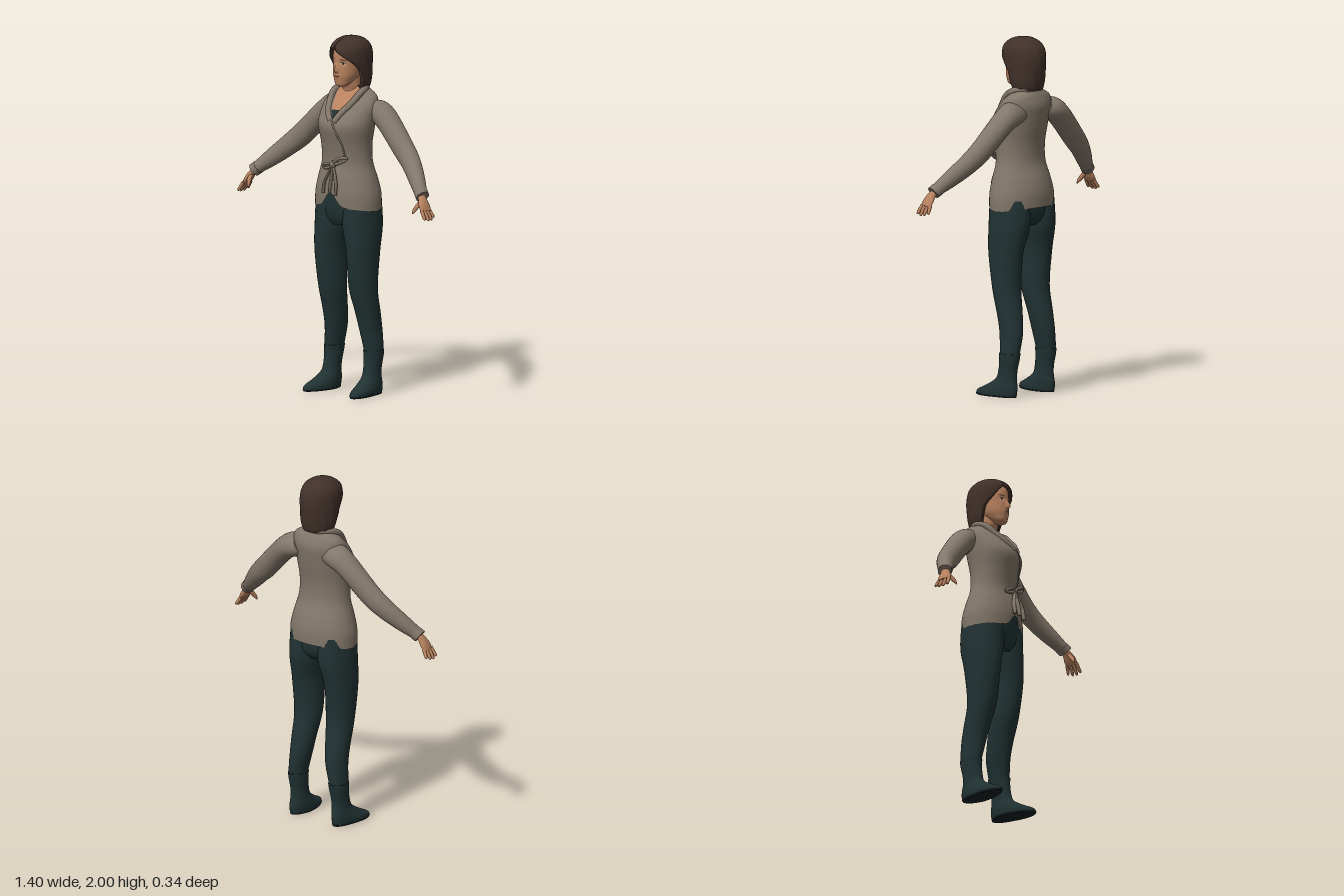
import * as THREE from 'three';

const mat = (name, color) => {
  const m = new THREE.MeshStandardMaterial({ color, side: THREE.DoubleSide });
  m.name = name;
  return m;
};

// Catmull-Rom blend of neighbouring cross-sections, t counted in sections
function sample(sections, t) {
  const n = sections.length - 1;
  const i = Math.min(Math.floor(t), n - 1), f = t - i;
  const at = k => sections[Math.max(0, Math.min(n, k))];
  const [a, b, c, d] = [at(i - 1), at(i), at(i + 1), at(i + 2)];
  return b.map((v, k) => v + 0.5 * f * (c[k] - a[k] + f * (2 * a[k] - 5 * v + 4 * c[k] - d[k] + f * (3 * (v - c[k]) + d[k] - a[k]))));
}

// Surface through cross-sections; shape(section, u) gives a point, u in 0..1 round the ring
function loft(sections, shape, { seg = 32, sub = 5, open = false, caps = true } = {}) {
  const pos = [], idx = [], rows = (sections.length - 1) * sub, cols = open ? seg + 1 : seg;
  for (let j = 0; j <= rows; j++) {
    const s = sample(sections, j / sub);
    for (let i = 0; i < cols; i++) pos.push(...shape(s, i / seg));
  }
  for (let j = 0; j < rows; j++) for (let i = 0; i < seg; i++) {
    const k = (i + 1) % cols, a = j * cols + i, b = j * cols + k;
    idx.push(a, b, b + cols, a, b + cols, a + cols);
  }
  if (caps && !open) for (const row of [0, rows]) {
    const start = pos.length / 3, mid = [0, 0, 0];
    for (let i = 0; i < cols; i++) for (let k = 0; k < 3; k++) {
      const v = pos[(row * cols + i) * 3 + k];
      pos.push(v);
      mid[k] += v / cols;
    }
    pos.push(...mid);
    for (let i = 0; i < cols; i++) {
      const a = start + i, b = start + (i + 1) % cols;
      idx.push(...(row ? [a, b, start + cols] : [b, a, start + cols]));
    }
  }
  const g = new THREE.BufferGeometry();
  g.setAttribute('position', new THREE.Float32BufferAttribute(pos, 3));
  g.setIndex(idx);
  g.computeVertexNormals();
  return g;
}

// Upright oval ring [y, halfWidth, zFront, zBack]; angle 0 is the front
const oval = ([y, w, zf, zb], u) => {
  const a = u * Math.PI * 2;
  return [w * Math.sin(a), y, (zf + zb) / 2 + (zf - zb) / 2 * Math.cos(a)];
};
// Front depth of an oval loft at x, y
function frontZ(sections, x, y) {
  let lo = 0, hi = sections.length - 1;
  for (let i = 0; i < 30; i++) {
    const m = (lo + hi) / 2;
    if (sample(sections, m)[0] < y) lo = m; else hi = m;
  }
  const [, w, zf, zb] = sample(sections, lo);
  return (zf + zb) / 2 + (zf - zb) / 2 * Math.sqrt(Math.max(0, 1 - (x / w) ** 2));
}
// Limb from [x, y, z, halfWidth, halfThickness], rings square to a fixed axis
function limb(sections, axis, opts) {
  const T = new THREE.Vector3(...axis).normalize();
  const U = new THREE.Vector3().crossVectors(T, new THREE.Vector3(0.6, 0.8, 0)).normalize();
  const V = new THREE.Vector3().crossVectors(U, T);
  return loft(sections, ([x, y, z, r, q], u) => {
    const s = Math.sin(u * Math.PI * 2) * r, c = Math.cos(u * Math.PI * 2) * q;
    return [x + U.x * s + V.x * c, y + U.y * s + V.y * c, z + U.z * s + V.z * c];
  }, opts);
}
const tube = (pts, r, closed = false) => new THREE.TubeGeometry(
  new THREE.CatmullRomCurve3(pts.map(p => new THREE.Vector3(...p)), closed), pts.length * 8, r, 8, closed);

const TORSO = [[1.04, .205, .14, -.165], [1.12, .203, .14, -.165], [1.2, .185, .13, -.15], [1.3, .158, .112, -.122],
  [1.4, .155, .125, -.122], [1.5, .168, .147, -.14], [1.56, .172, .125, -.15], [1.62, .172, .078, -.157],
  [1.67, .15, .025, -.145], [1.7, .1, 0, -.132], [1.72, .07, -.01, -.122]];
const HEAD = [[1.725, .022, .065, .02], [1.735, .038, .077, 0], [1.76, .054, .083, -.05], [1.79, .067, .086, -.08],
  [1.84, .074, .085, -.11], [1.88, .076, .085, -.12], [1.93, .07, .077, -.12], [1.97, .04, .03, -.08]];
// y, half width, front, back, opening angle on +x side, on -x side
const HAIR = [[1.728, .05, 0, -.1, 1.15, 1.15], [1.708, .083, .03, -.138, 1.2, 1.2], [1.75, .1, .05, -.153, 1.2, 1.2],
  [1.82, .106, .078, -.163, 1.15, 1.15], [1.87, .108, .095, -.167, .72, .85], [1.91, .107, .1, -.164, .2, .58],
  [1.945, .1, .092, -.152, -.24, .25], [1.975, .079, .062, -.122, -.25, .25], [1.994, .045, .02, -.078, -.25, .25],
  [2, .001, -.028, -.03, -.25, .25]];

// Nose, lips and eye sockets as smooth offsets of the face
const faceRelief = (x, y) => {
  const S = THREE.MathUtils.smoothstep, g = (v, s) => Math.exp(-((v / s) ** 2));
  return .021 * g(x, .011) * S(y, 1.8, 1.815) * (1 - S(y, 1.815, 1.872))
    + .004 * g(x, .02) * g(y - 1.785, .01) - .006 * g(Math.abs(x) - .034, .017) * g(y - 1.857, .013);
};

export function createModel() {
  const model = new THREE.Group();
  const wool = mat('taupe wool', 0x82776a), skin = mat('skin', 0xb9825f), hair = mat('brown hair', 0x41312a),
    cloth = mat('dark teal cloth', 0x213233), sole = mat('sole', 0x161f21), white = mat('eye white', 0xcfc4b8),
    dark = mat('iris and brow', 0x2b1e19), lip = mat('lips', 0x9a5d4b);
  const add = (name, geo, m, parent = model) => {
    const mesh = new THREE.Mesh(geo, m);
    mesh.name = name;
    parent.add(mesh);
    return mesh;
  };

  // Cardigan body with a curved hem, notched at the front
  const body = loft(TORSO, (s, u) => {
    const [x, y, z] = oval(s, u), c = Math.cos(u * Math.PI * 2);
    const hem = 1.035 + .022 * Math.abs(c) + (c > 0 ? .08 * Math.exp(-((x / .05) ** 2)) : 0);
    return [x, y < 1.3 ? hem + (y - 1.04) * (1.3 - hem) / .26 : y, z];
  }, { seg: 96, sub: 8, caps: false });
  // Faces inside the V neck become skin and undershirt
  const p = body.attributes.position, ix = body.index.array, sets = [[], [], []];
  for (let i = 0; i < ix.length; i += 3) {
    const f = [ix[i], ix[i + 1], ix[i + 2]];
    const mean = get => f.reduce((sum, v) => sum + get(v) / 3, 0);
    const x = mean(v => p.getX(v)), y = mean(v => p.getY(v)), z = mean(v => p.getZ(v));
    const inV = z > -.05 && y > 1.54 && Math.abs(x - .006) < .075 * (y - 1.54) / .14;
    sets[!inV ? 0 : y > 1.6 ? 1 : 2].push(...f);
  }
  body.setIndex(sets.flat());
  let start = 0;
  sets.forEach((s, i) => { body.addGroup(start, s.length, i); start += s.length; });
  add('cardigan body', body, [wool, skin, cloth]);

  // Shawl collar, wrap seam and bow
  const on = (x, y, d = 0) => [x, y, frontZ(TORSO, x, y) + d];
  const side = s => [on(.01 + s * .012, 1.535, -.006), on(s * .048, 1.585, -.003), on(s * .078, 1.635), [s * .093, 1.68, .008],
    [s * .088, 1.708, -.05]];
  add('shawl collar', tube([...side(1), [.05, 1.715, -.105], [0, 1.717, -.118], [-.05, 1.715, -.105], ...side(-1).reverse()], .019), wool);
  add('wrap seam', tube([on(-.015, 1.56), on(.015, 1.53), on(.045, 1.47), on(.065, 1.41), on(.075, 1.33)], .005), wool);
  const bow = new THREE.Group();
  bow.name = 'bow';
  model.add(bow);
  add('knot', new THREE.SphereGeometry(.02, 16, 12), wool, bow).position.set(.01, 1.297, .128);
  for (const [x, y] of [[.105, 1.34], [-.065, 1.272]]) {
    const dx = x - .01, dy = y - 1.297;
    add('bow loop', tube([[.01, 1.297, .128], [.01 + dx * .6, 1.312 + dy * .6, .14], [x, y, .118],
      [.01 + dx * .6, 1.287 + dy * .6, .128]], .009, true), wool, bow);
  }
  for (const [x, y] of [[-.035, 1.135], [.012, 1.14], [.055, 1.13]]) {
    const tail = [[x, y, .16, .011, .006], [x * .9, 1.2, .15, .013, .006], [.01, 1.297, .128, .009, .006]];
    add('bow tail', limb(tail, [0, 1, 0], { seg: 10 }), wool, bow);
  }

  // Hips under the hem
  add('hips', loft([[.95, .1, .085, -.1], [1, .18, .108, -.135], [1.1, .188, .118, -.142], [1.2, .165, .105, -.12]], oval), cloth);

  // Neck and head
  add('neck', loft([[1.6, .06, .02, -.11], [1.69, .056, .006, -.1], [1.73, .053, .018, -.095], [1.8, .052, .03, -.09]], oval), skin);
  add('head', loft(HEAD, (s, u) => {
    const q = oval(s, u);
    if (Math.cos(u * Math.PI * 2) > 0) q[2] += faceRelief(q[0], q[1]);
    return q;
  }, { seg: 96, sub: 10 }), skin);
  const patch = (name, x, y, rx, ry, tilt, lift, m) => {
    const g = new THREE.CircleGeometry(1, 20).scale(rx, ry, 1).rotateZ(tilt).translate(x, y, 0), a = g.attributes.position;
    for (let i = 0; i < a.count; i++) a.setZ(i, frontZ(HEAD, a.getX(i), a.getY(i)) + faceRelief(a.getX(i), a.getY(i)) + lift);
    g.computeVertexNormals();
    add(name, g, m);
  };
  for (const s of [-1, 1]) {
    patch('eye', s * .034, 1.857, .0135, .0055, 0, .0015, white);
    patch('iris', s * .034, 1.857, .0055, .0055, 0, .0025, dark);
    patch('upper lid', s * .034, 1.8625, .0145, .0018, -s * .08, .003, dark);
    patch('eyebrow', s * .036, 1.878, .017, .0025, -s * .1, .0015, dark);
    patch('nostril', s * .006, 1.802, .003, .0015, 0, .002, dark);
  }
  patch('upper lip', 0, 1.789, .021, .0035, 0, .0015, lip);
  patch('lower lip', 0, 1.783, .017, .004, 0, .0015, lip);
  patch('mouth line', 0, 1.7865, .02, .001, 0, .0028, dark);

  // Bobbed hair: rings run from one edge of the face opening round the back to the other
  add('hair', loft(HAIR, ([y, w, zf, zb, right, left], u) => {
    const a = right + (Math.PI * 2 - left - right) * u;
    const k = (u === 0 || u === 1 ? .82 : 1) * (1 + .008 * Math.sin(a * 13 + y * 20));
    return [k * w * Math.sin(a) + .002, y, (zf + zb) / 2 + k * (zf - zb) / 2 * Math.cos(a)];
  }, { seg: 72, sub: 7, open: true }), hair);

  // Limbs, built on the model's left and mirrored
  const legRing = ([y, cx, w, zf, zb], u) => {
    const q = oval([y, w, zf, zb], u);
    return [q[0] + cx + (y < .15 ? Math.max(0, q[2]) * .14 : 0), q[1], q[2]];
  };
  const ARM = [.76, -.6, .22];
  for (const s of [1, -1]) {
    const g = new THREE.Group();
    g.name = s > 0 ? 'left limbs' : 'right limbs';
    g.scale.x = s;
    model.add(g);

    add('trouser leg', loft([[.22, .145, .045, 0, -.113], [.26, .143, .05, .003, -.122], [.36, .128, .058, .017, -.126],
      [.46, .121, .067, .038, -.112], [.6, .114, .077, .077, -.092], [.8, .117, .083, .105, -.11],
      [.95, .102, .099, .112, -.143], [1.1, .095, .098, .11, -.14]], legRing), cloth, g);
    add('boot', loft([[.008, .152, .053, .16, -.108], [.03, .152, .055, .15, -.112], [.06, .15, .051, .09, -.112],
      [.1, .148, .045, .03, -.105], [.15, .147, .044, .012, -.107], [.21, .146, .049, .005, -.12], [.245, .145, .052, .007, -.125]],
      legRing), cloth, g);
    add('boot sole', loft([[0, .152, .05, .157, -.107], [.01, .152, .054, .162, -.11]], legRing, { sub: 1 }), sole, g);

    add('sleeve', limb([[.09, 1.6, -.08, .06, .06], [.15, 1.588, -.084, .072, .072], [.23, 1.54, -.08, .07, .064],
      [.37, 1.403, -.055, .057, .064], [.45, 1.333, -.03, .052, .058], [.53, 1.262, .015, .046, .049],
      [.6, 1.2, .06, .038, .036], [.622, 1.182, .071, .037, .034]], ARM, { seg: 28 }), wool, g);
    add('cuff', limb([[.6, 1.2, .06, .04, .038], [.623, 1.181, .072, .04, .037]], ARM, { seg: 28, sub: 2 }), wool, g);

    // Hand
    const HAND = [.45, -.85, .15];
    add('palm', limb([[.605, 1.195, .065, .024, .019], [.628, 1.168, .078, .027, .018], [.648, 1.135, .086, .038, .017],
      [.664, 1.108, .09, .037, .012]], HAND, { seg: 20 }), skin, g);
    for (let i = 0; i < 4; i++) {
      const z = .06 + i * .02, spread = (i - 1.5) * .006, len = [.8, .97, 1, .88][i];
      const at = (t, r) => [.658 + .038 * t * len, 1.115 - .058 * t * len, z + spread * t, r, r];
      add('finger', limb([at(0, .0105), at(.5, .0098), at(.88, .008), at(1, .002)], HAND, { seg: 10, sub: 4 }), skin, g);
    }
    add('thumb', limb([[.628, 1.16, .09, .012, .012], [.622, 1.135, .112, .013, .012], [.613, 1.11, .13, .01, .009],
      [.608, 1.092, .14, .003, .003]], [-.15, -.8, .55], { seg: 10, sub: 4 }), skin, g);
  }
  return model;
}
